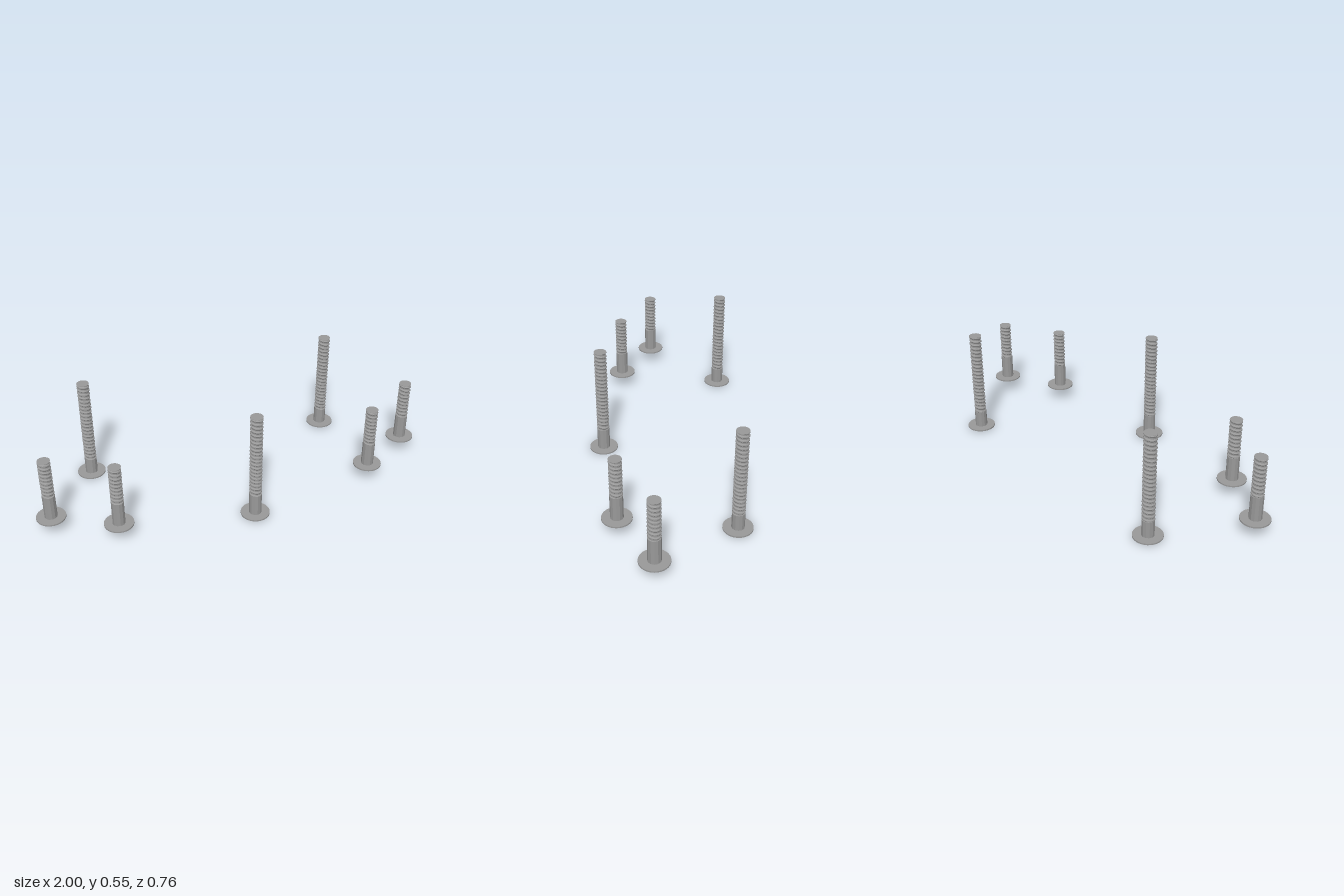
import * as THREE from 'three';

const steel = new THREE.MeshStandardMaterial({ color: 0x999999 });
steel.name = 'steel';
steel.flatShading = true;

const HEAD_R = 0.07, SHANK_R = 0.0305, ROOT_R = 0.0255, PITCH = 0.02, HEAD_H = 0.011;

function add(group, name, geometry, y) {
  const mesh = new THREE.Mesh(geometry, steel);
  mesh.name = name;
  mesh.position.y = y;
  group.add(mesh);
}

// Helical thread: rows follow the helix and are clamped to the two ends
function threadGeometry(length) {
  const sides = 16;
  const profile = [[0, ROOT_R], [0.3, ROOT_R], [0.55, SHANK_R], [0.75, SHANK_R]];
  const rows = (Math.ceil(length / PITCH) + 2) * profile.length;
  const pos = [], index = [];
  for (let i = 0; i <= rows; i++) {
    const [offset, r] = profile[i % profile.length];
    const turn = Math.floor(i / profile.length) - 1 + offset;
    for (let j = 0; j <= sides; j++) {
      const a = (j / sides) * Math.PI * 2;
      const y = THREE.MathUtils.clamp((turn + j / sides) * PITCH, 0, length);
      pos.push(Math.cos(a) * r, y, Math.sin(a) * r);
    }
  }
  const w = sides + 1;
  for (let i = 0; i < rows; i++) {
    for (let j = 0; j < sides; j++) {
      const a = i * w + j, b = a + 1, c = a + w, d = c + 1;
      index.push(a, c, b, b, c, d);
    }
  }
  const g = new THREE.BufferGeometry();
  g.setAttribute('position', new THREE.Float32BufferAttribute(pos, 3));
  g.setIndex(index);
  g.computeVertexNormals();
  return g;
}

// Lower lip of the head with a hexagonal key socket
function socketGeometry(depth) {
  const shape = new THREE.Shape().absarc(0, 0, HEAD_R - 0.006, 0, Math.PI * 2);
  const hex = new THREE.Path();
  for (let i = 0; i <= 6; i++) {
    const a = (-i / 6) * Math.PI * 2;
    hex[i ? 'lineTo' : 'moveTo'](Math.cos(a) * 0.042, Math.sin(a) * 0.042);
  }
  shape.holes.push(hex);
  const g = new THREE.ExtrudeGeometry(shape, { depth, bevelEnabled: false, curveSegments: 16 });
  return g.rotateX(-Math.PI / 2);
}

// Bolt standing on its head: overall height and height where the thread begins
function bolt(height, threadStart) {
  const g = new THREE.Group();
  const lip = 0.004;
  add(g, 'headSocket', socketGeometry(lip), 0);
  add(g, 'headFlange', new THREE.CylinderGeometry(HEAD_R, HEAD_R, HEAD_H - lip, 32), (HEAD_H + lip) / 2);
  const shankH = threadStart - HEAD_H;
  add(g, 'shank', new THREE.CylinderGeometry(SHANK_R, SHANK_R, shankH, 12), HEAD_H + shankH / 2);
  const threadH = height - threadStart;
  add(g, 'threadCore', new THREE.CylinderGeometry(ROOT_R, ROOT_R, threadH, 16), threadStart + threadH / 2);
  add(g, 'thread', threadGeometry(threadH), threadStart);
  // End face
  add(g, 'tip', new THREE.CylinderGeometry(0.028, 0.028, 0.003, 16), height - 0.0015);
  return g;
}

export function createModel() {
  const model = new THREE.Group();
  model.name = 'boltSet';
  const place = (name, x, y, z, height, threadStart) => {
    const b = bolt(height, threadStart);
    b.name = name;
    b.position.set(x, y, z);
    model.add(b);
  };
  place('frontLongBolt', 0, 0, 0.31, 0.55, 0.12);
  for (const [side, s] of [['left', 1], ['right', -1]]) {
    place(side + 'RearLongBolt', s * 0.648, 0, -0.309, 0.524, 0.093);
    place(side + 'InnerShortBolt', s * 0.648, 0.065, 0.228, 0.324, 0.133);
    place(side + 'OuterShortBolt', s * 0.93, 0.065, 0.066, 0.324, 0.133);
  }
  return model;
}
